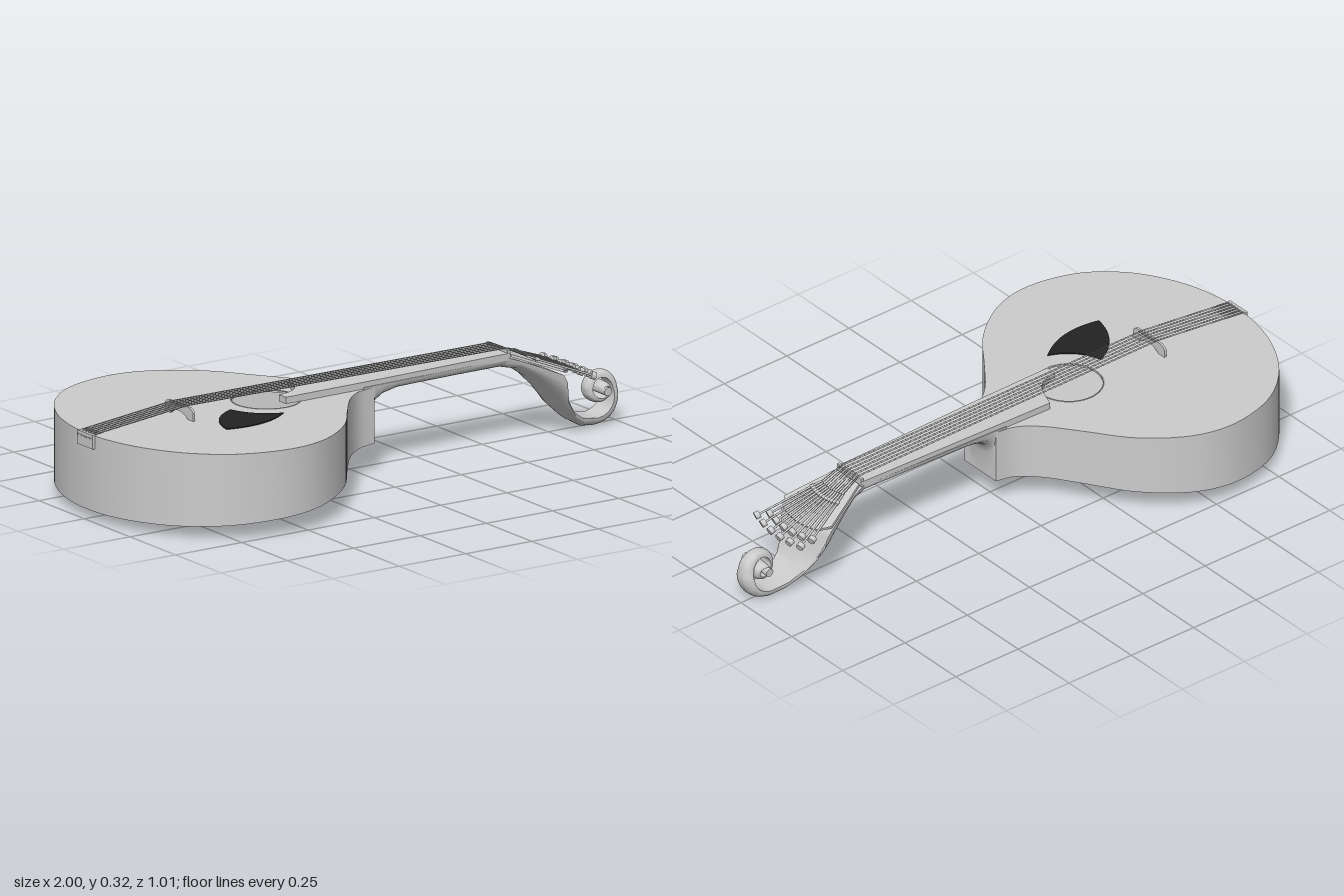
import * as THREE from 'three';
import { toCreasedNormals } from 'three/addons/utils/BufferGeometryUtils.js';

const grey = new THREE.MeshStandardMaterial({ color: 0xcccccc, side: THREE.DoubleSide });
const dark = new THREE.MeshStandardMaterial({ color: 0x222222, side: THREE.DoubleSide });
const V = (x, y, z) => new THREE.Vector3(x, y, z);
const TOP = 0.28;
const backY = (x) => 0.036 + (x + 0.99) * 0.063;

function add(parent, name, geometry, material = grey) {
  const mesh = new THREE.Mesh(geometry, material);
  mesh.name = name;
  parent.add(mesh);
  return mesh;
}

// Skin closed rings of points; optionally fan-cap both ends
function loft(rings, caps = false) {
  const n = rings[0].length, index = [];
  const pts = rings.flat();
  for (let i = 0; i < rings.length - 1; i++) {
    for (let j = 0; j < n; j++) {
      const a = i * n + j, b = i * n + (j + 1) % n;
      index.push(a, b, a + n, b, b + n, a + n);
    }
  }
  if (caps) {
    const last = (rings.length - 1) * n;
    for (let j = 1; j < n - 1; j++) index.push(0, j + 1, j, last, last + j, last + j + 1);
  }
  const g = new THREE.BufferGeometry().setFromPoints(pts);
  g.setIndex(index);
  return toCreasedNormals(g, 0.75);
}

// Flat plate drawn in x/z, with its upper face at the given height
function plate(shape, top, depth) {
  const g = new THREE.ExtrudeGeometry(shape, { depth, bevelEnabled: false, curveSegments: 20 });
  return g.rotateX(Math.PI / 2).translate(0, top, 0);
}

// Round bar between two points
function rod(a, b, r, sides = 5) {
  const d = b.clone().sub(a);
  const g = new THREE.CylinderGeometry(r, r, d.length(), sides);
  g.applyQuaternion(new THREE.Quaternion().setFromUnitVectors(V(0, 1, 0), d.normalize()));
  const m = a.clone().add(b).multiplyScalar(0.5);
  return g.translate(m.x, m.y, m.z);
}

// Flat-topped, round-bottomed section: upper point, lower point, half width
function dSection([ux, uy, lx, ly, w]) {
  const ring = [];
  for (let k = 0; k <= 14; k++) {
    const a = Math.PI * k / 14, s = Math.pow(Math.max(0, Math.sin(a)), 0.75);
    ring.push(V(ux + (lx - ux) * s, uy + (ly - uy) * s, w * Math.cos(a)));
  }
  return ring;
}

function buildBody(root) {
  const half = [[0.04, 0.078], [-0.03, 0.092], [-0.1, 0.148], [-0.18, 0.25], [-0.28, 0.378], [-0.42, 0.477],
    [-0.567, 0.507], [-0.73, 0.468], [-0.85, 0.378], [-0.93, 0.26], [-0.976, 0.13], [-0.99, 0]];
  const all = [...half, ...half.slice(0, -1).reverse().map(([x, z]) => [x, -z])];
  const outline = new THREE.SplineCurve(all.map(([x, z]) => new THREE.Vector2(x, z))).getPoints(110);

  add(root, 'bodySides', loft([outline.map((p) => V(p.x, TOP, p.y)), outline.map((p) => V(p.x, backY(p.x), p.y))]));

  // Soundboard with its round opening
  const board = new THREE.Shape(outline);
  board.holes.push(new THREE.Path().absarc(-0.315, 0, 0.107, 0, Math.PI * 2));
  add(root, 'soundboard', plate(board, TOP + 0.001, 0.006));
  add(root, 'soundHoleRim', new THREE.TorusGeometry(0.108, 0.002, 5, 48).rotateX(Math.PI / 2).translate(-0.315, TOP + 0.001, 0));

  // Sloping back
  const back = new THREE.ShapeGeometry(new THREE.Shape(outline)).rotateX(Math.PI / 2);
  const p = back.attributes.position;
  for (let i = 0; i < p.count; i++) p.setY(i, backY(p.getX(i)));
  back.computeVertexNormals();
  add(root, 'back', back);

  // Leaf-shaped guard
  const guard = new THREE.Shape().moveTo(-0.475, 0.037);
  guard.quadraticCurveTo(-0.59, 0.09, -0.61, 0.213);
  guard.quadraticCurveTo(-0.47, 0.25, -0.36, 0.16);
  guard.quadraticCurveTo(-0.45, 0.13, -0.475, 0.037);
  add(root, 'pickGuard', plate(guard, TOP + 0.004, 0.004), dark);

  // Arched bridge
  const b = new THREE.Shape().moveTo(-0.077, 0).lineTo(-0.077, 0.028);
  b.quadraticCurveTo(-0.07, 0.041, -0.05, 0.041).lineTo(0.05, 0.041);
  b.quadraticCurveTo(0.07, 0.041, 0.077, 0.028).lineTo(0.077, 0).lineTo(0.05, 0);
  b.quadraticCurveTo(0, 0.036, -0.05, 0).closePath();
  const bridge = new THREE.ExtrudeGeometry(b, { depth: 0.008, bevelEnabled: false });
  add(root, 'bridge', bridge.rotateY(Math.PI / 2).translate(-0.644, TOP, 0));

  add(root, 'tailpiece', new THREE.BoxGeometry(0.012, 0.045, 0.085).translate(-0.992, 0.262, 0));
}

function buildNeck(root) {
  const U = 0.287;
  const neck = [[0, U, 0, 0.1, 0.08], [0.04, U, 0.04, 0.1, 0.078], [0.04, U, 0.041, 0.18, 0.078],
    [0.05, U, 0.053, 0.212, 0.077], [0.085, U, 0.085, 0.239, 0.076], [0.14, U, 0.14, 0.254, 0.075],
    [0.35, U, 0.35, 0.255, 0.067], [0.56, U, 0.545, 0.254, 0.06]];
  add(root, 'neck', loft(neck.map(dSection), true));

  // Fingerboard with a sweeping end over the opening
  const f = new THREE.Shape().moveTo(0.565, 0.06).lineTo(0, 0.076).lineTo(-0.295, 0.08).lineTo(-0.295, 0.042);
  f.bezierCurveTo(-0.2, 0.035, -0.2, -0.02, -0.175, -0.08);
  f.lineTo(0, -0.076).lineTo(0.565, -0.06).closePath();
  add(root, 'fingerboard', plate(f, 0.304, 0.022));
  add(root, 'nut', new THREE.BoxGeometry(0.01, 0.028, 0.118).translate(0.561, 0.3, 0));
}

function buildHeadstock(root) {
  // Flaring head that curves down, thins and rolls up into a scroll
  const s = [[0.55, 0.292, 0.54, 0.254, 0.06], [0.6, 0.274, 0.605, 0.239, 0.07], [0.66, 0.25, 0.67, 0.195, 0.092],
    [0.73, 0.219, 0.735, 0.128, 0.116], [0.747, 0.19, 0.758, 0.1, 0.112], [0.76, 0.135, 0.782, 0.072, 0.092],
    [0.8, 0.078, 0.822, 0.034, 0.068], [0.85, 0.044, 0.862, 0.011, 0.05]];
  const turns = [[-105, 0.118, 0.03, 0.042], [-75, 0.103, 0.032, 0.041], [-40, 0.082, 0.031, 0.038], [0, 0.066, 0.027, 0.03],
    [90, 0.059, 0.022, 0.022], [180, 0.052, 0.019, 0.026], [270, 0.044, 0.016, 0.034], [360, 0.034, 0.014, 0.042],
    [450, 0.024, 0.012, 0.05], [540, 0.015, 0.009, 0.057]];
  for (let i = 0; i < turns.length - 1; i++) {
    const steps = Math.ceil((turns[i + 1][0] - turns[i][0]) / 12);
    for (let k = 0; k < steps; k++) {
      const [deg, r, t, w] = turns[i].map((v, c) => THREE.MathUtils.lerp(v, turns[i + 1][c], k / steps));
      const a = THREE.MathUtils.degToRad(deg), c = Math.cos(a), n = Math.sin(a);
      s.push([0.934 + (r - t) * c, 0.12 + (r - t) * n, 0.934 + r * c, 0.12 + r * n, w]);
    }
  }
  add(root, 'headstockAndScroll', loft(s.map(dSection), true));
  add(root, 'scrollEye', new THREE.CylinderGeometry(0.014, 0.014, 0.122, 18).rotateX(Math.PI / 2).translate(0.934, 0.12, 0));

  // Sloping fan plate with twelve tuning screws
  const fan = new THREE.Group();
  fan.name = 'tuningFan';
  fan.position.set(0.57, 0.292, 0);
  fan.rotation.z = -0.37;
  root.add(fan);
  const p = new THREE.Shape().moveTo(0, 0.056).lineTo(0.17, 0.115).lineTo(0.205, 0.088);
  p.quadraticCurveTo(0.235, 0, 0.205, -0.088).lineTo(0.17, -0.115).lineTo(0, -0.056).closePath();
  add(fan, 'fanPlate', plate(p, 0.006, 0.008));
  for (let i = 0; i < 12; i++) {
    const a = (i - 5.5) * 0.056, end = i % 2 ? 0.395 : 0.36;
    const at = (r) => V(-0.1 + r * Math.cos(a), 0.013, r * Math.sin(a));
    add(fan, 'tuningScrew', rod(at(0.17), at(end), 0.0035, 8));
    add(fan, 'tuningHook', rod(at(0.2), at(0.212), 0.006, 8));
    add(fan, 'tuningKnob', rod(at(end - 0.004), at(end + 0.012), 0.0125, 14));
  }
}

// Six pairs of strings from tail to bridge, nut and fan
function buildStrings(root) {
  for (let i = 0; i < 12; i++) {
    const z = (Math.floor(i / 2) - 2.5) * 0.0145 + (i % 2 ? 0.0025 : -0.0025);
    const a = (i - 5.5) * 0.056;
    const path = [V(-0.99, 0.284, z), V(-0.64, 0.322, z), V(0.561, 0.316, z * 1.1),
      V(0.57 + 0.075 * Math.cos(0.37), 0.292 + 0.0135 - 0.075 * Math.sin(0.37), 0.175 * Math.sin(a))];
    for (let k = 0; k < 3; k++) add(root, 'string', rod(path[k], path[k + 1], 0.0011, 4));
    add(root, 'stringPin', rod(V(-1, 0.272, z), V(-0.985, 0.272, z), 0.0025, 6));
  }
}

export function createModel() {
  const model = new THREE.Group();
  model.name = 'twelveStringGuitar';
  buildBody(model);
  buildNeck(model);
  buildHeadstock(model);
  buildStrings(model);
  return model;
}
